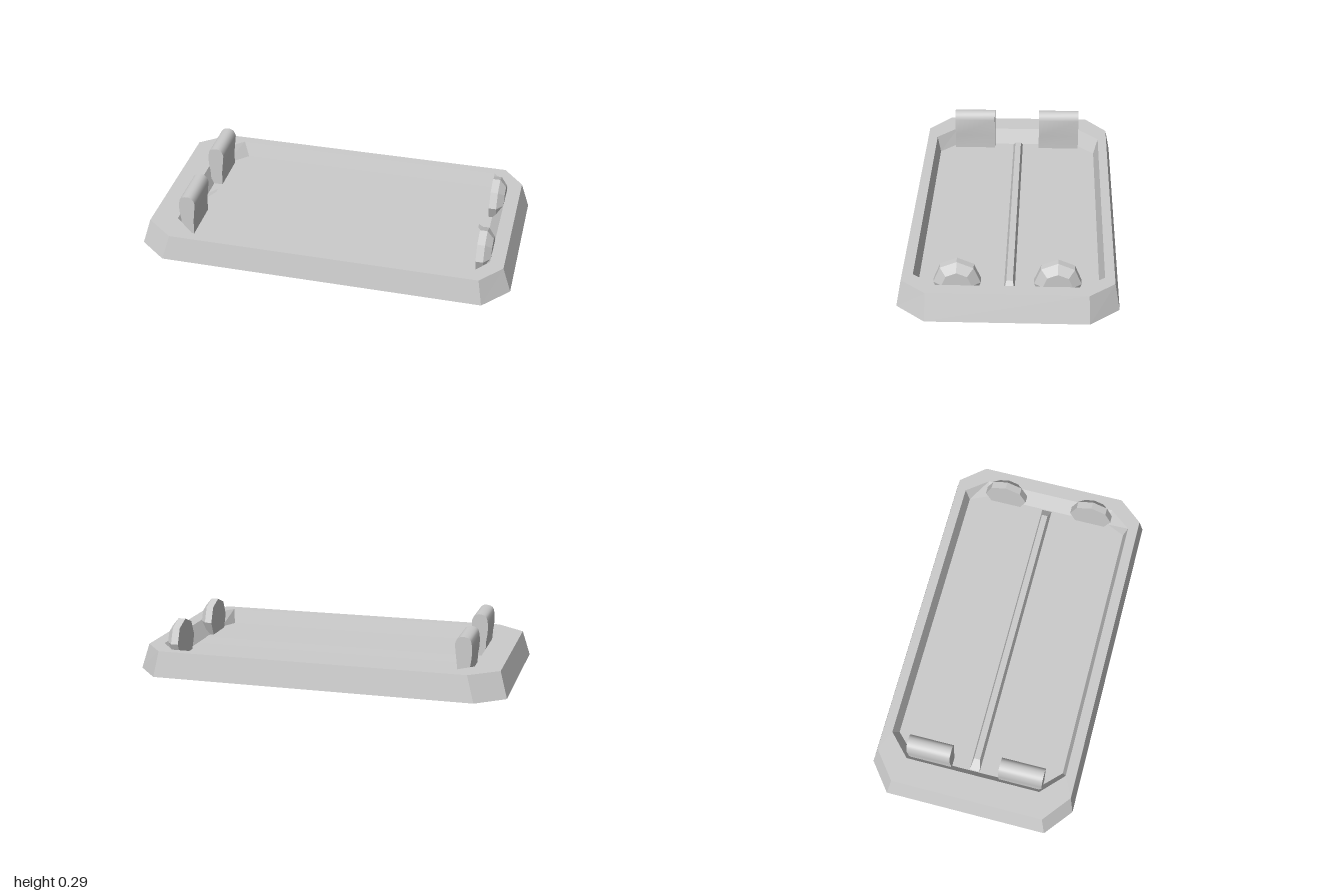
import * as THREE from 'three';
import { toCreasedNormals } from 'three/addons/utils/BufferGeometryUtils.js';

const material = new THREE.MeshStandardMaterial({ color: 0xcccccc, flatShading: true, side: THREE.DoubleSide });
const smooth = new THREE.MeshStandardMaterial({ color: 0xcccccc });

// Rectangle with cut corners, counterclockwise from above.
// xl, xr: ends; zb, zf: back and front; cutL, cutR: corner cuts [along x, along z]
function octagon(y, xl, xr, zb, zf, cutL, cutR) {
  const [lx, lz] = cutL, [rx, rz] = cutR;
  return [
    [xr, zb + rz], [xr - rx, zb], [xl + lx, zb], [xl, zb + lz],
    [xl, zf - lz], [xl + lx, zf], [xr - rx, zf], [xr, zf - rz],
  ].map(([x, z]) => new THREE.Vector3(x, y, z));
}

function rectangle(y, xl, xr, zb, zf) {
  return [[xr, zb], [xl, zb], [xl, zf], [xr, zf]].map(([x, z]) => new THREE.Vector3(x, y, z));
}

// Flat-faced surface through a list of rings, optionally capped at the last one
function loft(rings, cap) {
  const points = [];
  for (let k = 0; k < rings.length - 1; k++) {
    const a = rings[k], b = rings[k + 1], n = a.length;
    for (let i = 0; i < n; i++) {
      const j = (i + 1) % n;
      points.push(a[i], a[j], b[j], a[i], b[j], b[i]);
    }
  }
  if (cap) {
    const last = rings[rings.length - 1];
    for (let i = 1; i < last.length - 1; i++) points.push(last[0], last[i], last[i + 1]);
  }
  const geometry = new THREE.BufferGeometry().setFromPoints(points);
  geometry.computeVertexNormals();
  return geometry;
}

export function createModel() {
  const group = new THREE.Group();
  const add = (name, geometry, mat = material) => {
    const mesh = new THREE.Mesh(geometry, mat);
    mesh.name = name;
    group.add(mesh);
    return mesh;
  };
  const floorY = 0.055;

  // Raised frame, open underneath: outer wall, top rim and inner wall
  const floorRing = octagon(floorY, -0.78, 0.825, -0.46, 0.455, [0.11, 0.11], [0.045, 0.1]);
  add('frame', loft([
    octagon(0, -1, 1, -0.56, 0.555, [0.15, 0.12], [0.13, 0.15]),
    octagon(0.137, -0.96, 0.955, -0.535, 0.53, [0.15, 0.12], [0.11, 0.13]),
    octagon(0.137, -0.82, 0.88, -0.485, 0.475, [0.12, 0.115], [0.09, 0.115]),
    floorRing,
  ], false));

  // Thin floor with a slot under the hollow ridge
  const ridgeBase = rectangle(floorY, -0.775, 0.82, -0.035, 0.02);
  const flat = (ring) => ring.map((p) => new THREE.Vector2(p.x, -p.z));
  const floorShape = new THREE.Shape(flat(floorRing));
  floorShape.holes.push(new THREE.Path(flat(ridgeBase)));
  add('floor', new THREE.ShapeGeometry(floorShape).rotateX(-Math.PI / 2).translate(0, floorY, 0));

  // Centre ridge with sloping ends
  add('ridge', loft([ridgeBase, rectangle(0.095, -0.72, 0.77, -0.025, 0.008)], true));

  // Clip profile: slim stem with a rounded head
  const clipShape = new THREE.Shape();
  clipShape.moveTo(-0.795, floorY);
  clipShape.lineTo(-0.73, floorY);
  clipShape.lineTo(-0.728, 0.137);
  clipShape.lineTo(-0.715, 0.245);
  clipShape.quadraticCurveTo(-0.722, 0.287, -0.755, 0.288);
  clipShape.quadraticCurveTo(-0.792, 0.286, -0.798, 0.265);
  clipShape.quadraticCurveTo(-0.812, 0.22, -0.797, 0.137);
  clipShape.closePath();

  // Bevelled eight-sided disc, turned about the x axis
  const discProfile = [[0, 0.805], [0.118, 0.805], [0.118, 0.845], [0.075, 0.88], [0, 0.88]]
    .map(([r, x]) => new THREE.Vector2(r, x));

  for (const side of [-1, 1]) {
    const end = side > 0 ? 'front' : 'back';
    const clip = new THREE.ExtrudeGeometry(clipShape, { depth: 0.236, bevelEnabled: false, curveSegments: 5 });
    clip.translate(0, 0, side * 0.25 - 0.118);
    add(`${end}Clip`, toCreasedNormals(clip, 0.6), smooth);

    const disc = new THREE.LatheGeometry(discProfile, 8).rotateZ(-Math.PI / 2);
    add(`${end}Disc`, disc).position.set(0, 0.132, side * 0.25);
  }
  return group;
}
